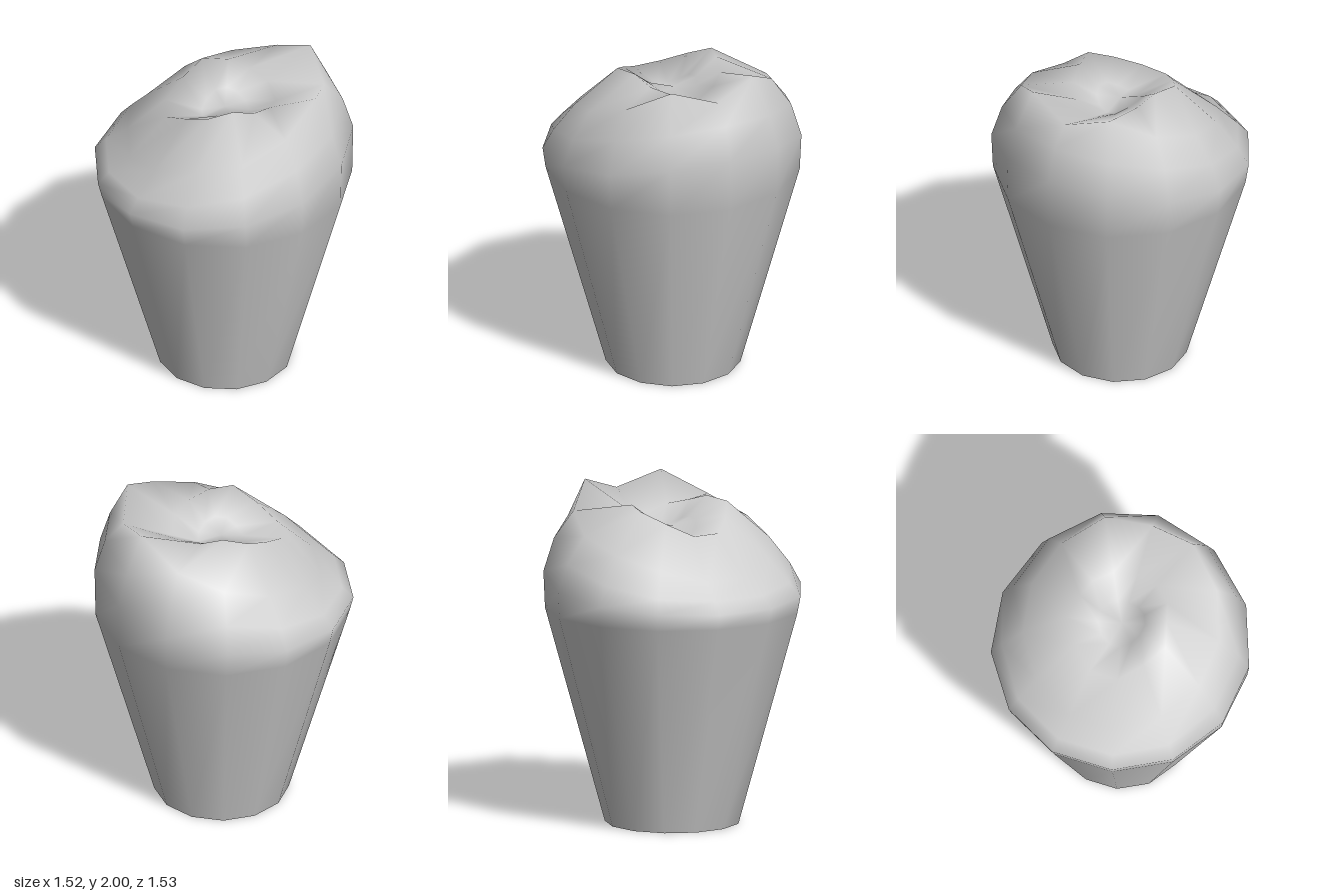
import * as THREE from 'three';

const SIDES = 13;

// Cross-section loops from the base up to the chewing surface.
// r and y hold seven values from the tall side (+x) round to the low side (-x),
// mirrored across z; a single number applies to the whole loop.
const RINGS = [
  { cx: 0, r: 0.4, y: 0 },
  { cx: -0.005, r: 0.755, y: 1.28 },
  { cx: -0.013, r: 0.769, y: [1.6, 1.57, 1.5, 1.44, 1.4, 1.38, 1.37] },
  { cx: -0.01, r: 0.705, y: [1.8, 1.77, 1.7, 1.6, 1.52, 1.46, 1.44] },
  { cx: 0, r: 0.585, y: [1.91, 2.0, 1.86, 1.76, 1.68, 1.6, 1.53] },
  { cx: 0, r: [0.3, 0.29, 0.28, 0.27, 0.33, 0.32, 0.36], y: [1.8, 1.85, 1.88, 1.92, 1.905, 1.84, 1.77] },
  { cx: 0, r: 0.14, y: [1.74, 1.76, 1.79, 1.81, 1.8, 1.76, 1.73] },
];
const CENTRE_Y = 1.77;

const pick = (v, k) => (Array.isArray(v) ? v[Math.min(k, SIDES - k)] : v);

function crownGeometry() {
  const pos = [];
  const index = [];
  for (const ring of RINGS) {
    for (let k = 0; k < SIDES; k++) {
      const a = (k / SIDES) * Math.PI * 2;
      const r = pick(ring.r, k);
      pos.push(ring.cx + r * Math.cos(a), pick(ring.y, k), r * Math.sin(a));
    }
  }
  // Bands between neighbouring loops
  for (let i = 0; i < RINGS.length - 1; i++) {
    for (let k = 0; k < SIDES; k++) {
      const n = (k + 1) % SIDES;
      const a = i * SIDES + k;
      const b = i * SIDES + n;
      index.push(a, a + SIDES, b, b, a + SIDES, b + SIDES);
    }
  }
  // Fan closing the central hollow
  const centre = pos.length / 3;
  const last = (RINGS.length - 1) * SIDES;
  pos.push(0, CENTRE_Y, 0);
  for (let k = 0; k < SIDES; k++) index.push(last + k, centre, last + ((k + 1) % SIDES));

  const geo = new THREE.BufferGeometry();
  geo.setAttribute('position', new THREE.Float32BufferAttribute(pos, 3));
  geo.setIndex(index);
  geo.computeVertexNormals();
  return geo;
}

export function createModel() {
  const group = new THREE.Group();
  group.name = 'tooth';
  // Hollow shell, open at the base
  const material = new THREE.MeshStandardMaterial({ color: 0xcccccc, side: THREE.DoubleSide });
  const crown = new THREE.Mesh(crownGeometry(), material);
  crown.name = 'crown';
  group.add(crown);
  return group;
}
